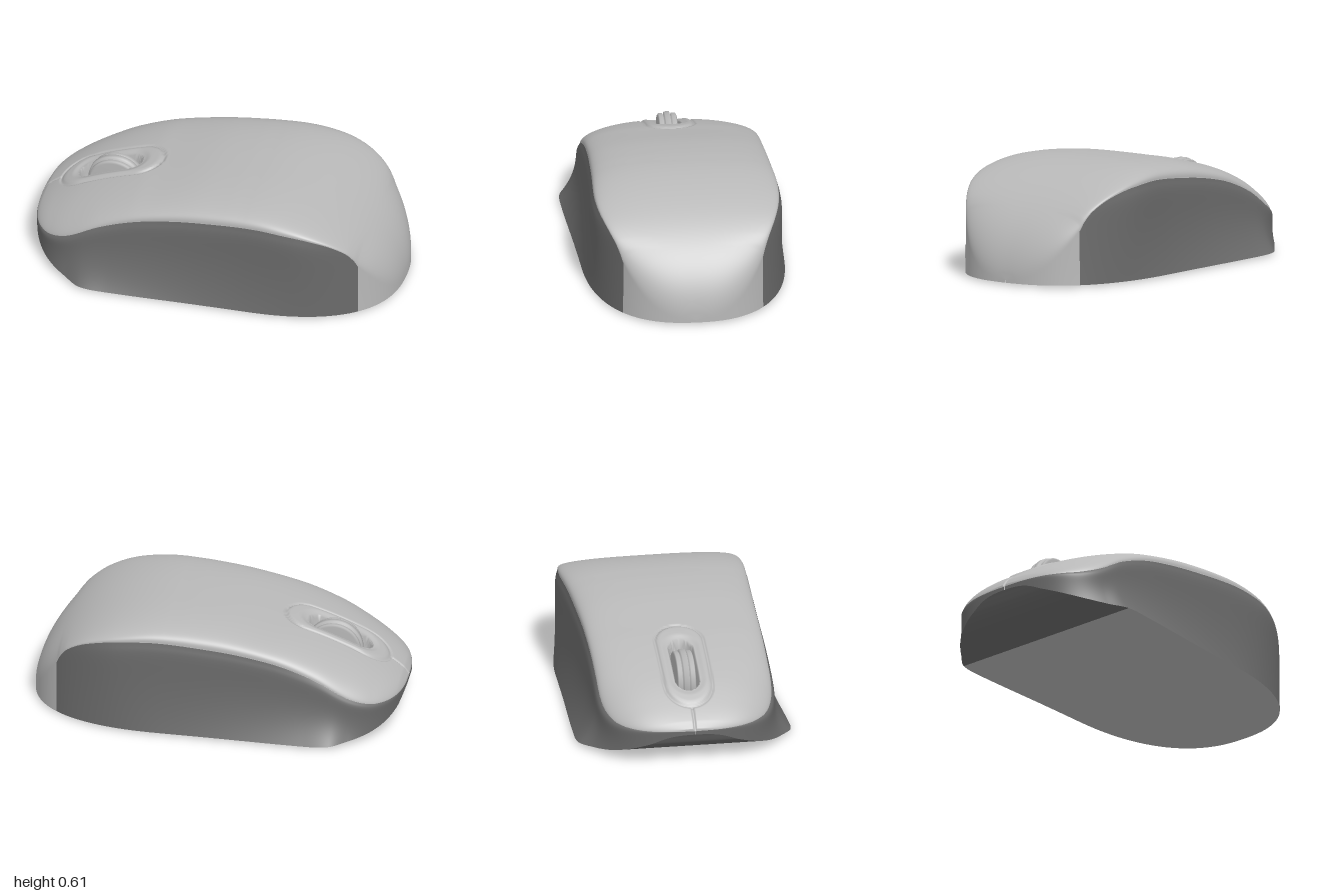
import * as THREE from 'three';

// Smooth curve through [x, value] keys
function curve(keys) {
  const n = keys.length;
  const slope = keys.map((k, i) => {
    const a = keys[Math.max(0, i - 1)], b = keys[Math.min(n - 1, i + 1)];
    return (b[1] - a[1]) / (b[0] - a[0]);
  });
  return (x) => {
    let i = 0;
    while (i < n - 2 && x > keys[i + 1][0]) i++;
    const [x0, y0] = keys[i], [x1, y1] = keys[i + 1], h = x1 - x0;
    const t = THREE.MathUtils.clamp((x - x0) / h, 0, 1), t2 = t * t, t3 = t2 * t;
    return (2 * t3 - 3 * t2 + 1) * y0 + (t3 - 2 * t2 + t) * h * slope[i]
      + (3 * t2 - 2 * t3) * y1 + (t3 - t2) * h * slope[i + 1];
  };
}

const { clamp, lerp, smoothstep } = THREE.MathUtils;
const SPLIT = 0.84; // where the side panels end and the shell wraps down the back
const NOSE = -0.65; // where the flat underside turns up into the nose
const frontCrown = curve([[-1, 0.195], [-0.97, 0.235], [-0.87, 0.308], [-0.74, 0.382], [-0.58, 0.449],
  [-0.42, 0.501], [-0.31, 0.526], [-0.07, 0.578], [0.12, 0.6], [0.25, 0.605]]);
const seamHeight = curve([[-1, 0.185], [-0.92, 0.192], [-0.85, 0.205], [-0.74, 0.25], [-0.58, 0.342], [-0.39, 0.416],
  [-0.2, 0.46], [0, 0.49], [0.3, 0.517], [0.5, 0.507], [0.6, 0.49], [0.7, 0.455], [0.78, 0.4], [0.82, 0.345],
  [0.84, 0.3], [0.9, 0.2], [0.95, 0.11], [1, 0.02]]);
const seamWidth = curve([[-1, 0.465], [-0.6, 0.465], [-0.2, 0.468], [0, 0.474], [0.3, 0.488], [0.6, 0.515], [0.84, 0.525], [1, 0.53]]);
const baseWidth = curve([[-1, 0.46], [-0.87, 0.485], [-0.75, 0.522], [-0.65, 0.572], [-0.5, 0.577], [0, 0.552],
  [0.4, 0.537], [0.7, 0.53], [1, 0.53]]);
const baseHeight = curve([[-1, 0.165], [-0.97, 0.11], [-0.9, 0.062], [-0.8, 0.032], [-0.65, 0.014], [-0.4, 0.01], [1, 0.01]]);

// Rounded plan ends at the nose and the back
function taper(x) {
  const back = x > 0.25;
  const u = back ? (x - 0.25) / 0.75 : Math.max(0, (-0.6 - x) / 0.4), p = back ? 2.4 : 2.6;
  return Math.max(0.002, Math.pow(Math.max(0, 1 - Math.pow(u, p)), 1 / p));
}

function crownHeight(x) {
  if (x <= 0.25) return frontCrown(x);
  const u = (x - 0.25) / 0.75;
  return 0.025 + 0.58 * Math.sqrt(Math.max(0, 1 - u * u));
}

// Signed distance to a stadium lying along x
const stadium = (x, z, cx, half, r) => Math.hypot(Math.max(0, Math.abs(x - cx) - (half - r)), z) - r;

// Wheel surround with its outline groove, wheel slot and the split between the buttons
function relief(x, z) {
  const panel = stadium(x, z, -0.62, 0.28, 0.13);
  const slot = stadium(x, z, -0.63, 0.175, 0.068);
  let y = 0.006 * smoothstep(-panel, 0, 0.03);
  y -= 0.008 * (1 - smoothstep(Math.abs(panel), 0, 0.014));
  y -= 0.012 * smoothstep(-slot, -0.04, 0);
  y -= 0.1 * smoothstep(-slot, 0, 0.016);
  if (x < -0.9) y -= 0.01 * (1 - smoothstep(Math.abs(z), 0, 0.012));
  return y;
}

// Body cross-section: |s| < 1 is the crown, 1..2 runs down the side wall
function body(x, s) {
  x = clamp(x, -1, 1);
  const side = Math.sign(s), a = Math.abs(s), e = taper(x);
  const w = seamWidth(x) * e, wb = baseWidth(x) * e, seam = seamHeight(x);
  if (a <= 1) {
    const f = Math.sin(a * Math.PI / 2), z = side * w * f;
    // sharper edge at the nose, rounder shoulders further back
    const power = lerp(0.72, 0.36, smoothstep(x, -1, -0.2));
    const dome = Math.pow(Math.max(0, 1 - Math.pow(f, 2.8)), power);
    return new THREE.Vector3(x, seam + (crownHeight(x) - seam) * dome + relief(x, z), z);
  }
  const t = Math.min(1, a - 1);
  const bulge = 0.022 * (1 - Math.exp(-12 * t)) * (1 - t) * (1 - smoothstep(x, 0.5, SPLIT)) * e;
  return new THREE.Vector3(x, lerp(seam, baseHeight(x), t), side * (w + bulge + (wb - w) * Math.pow(t, 2.4)));
}

// Underside, slightly crowned so its middle rests on the ground
function underside(x, v) {
  x = clamp(x, -1, 1);
  const sag = smoothstep(x, NOSE, -0.4) * (1 - smoothstep(x, 0.7, 0.95)) * (1 - Math.min(1, v ** 4));
  return new THREE.Vector3(x, baseHeight(x) - 0.01 * sag, -v * baseWidth(x) * taper(x));
}

// Surface over stations xs and an even range of v, with smooth normals
function surface(fn, xs, v0, v1, nv) {
  const pos = [], nor = [], idx = [], e = 0.002;
  xs.forEach((x, i) => {
    for (let j = 0; j <= nv; j++) {
      const v = v0 + (v1 - v0) * j / nv;
      const du = fn(x + e, v).sub(fn(x - e, v)).normalize();
      const dv = fn(x, v + e).sub(fn(x, v - e)).normalize();
      pos.push(...fn(x, v).toArray());
      nor.push(...dv.cross(du).normalize().toArray());
      if (i < xs.length - 1 && j < nv) {
        const a = i * (nv + 1) + j, c = a + nv + 1;
        idx.push(a, a + 1, c, a + 1, c + 1, c);
      }
    }
  });
  const g = new THREE.BufferGeometry();
  g.setAttribute('position', new THREE.Float32BufferAttribute(pos, 3));
  g.setAttribute('normal', new THREE.Float32BufferAttribute(nor, 3));
  g.setIndex(idx);
  return g;
}

export function createModel() {
  const group = new THREE.Group();
  const material = (name, color) => {
    const m = new THREE.MeshStandardMaterial({ color });
    m.name = name;
    return m;
  };
  const light = material('light grey', 0xb8b8b8);
  const dark = material('dark grey', 0x6a6a6a);
  const add = (name, geometry, mat) => {
    const mesh = new THREE.Mesh(geometry, mat);
    mesh.name = name;
    group.add(mesh);
    return mesh;
  };

  // Stations bunch up towards both rounded ends
  const xs = Array.from({ length: 261 }, (_, i) => -Math.cos(Math.PI * i / 260));
  xs.push(SPLIT, NOSE);
  xs.sort((a, b) => a - b);
  const between = (a, b) => xs.filter((x) => x >= a && x <= b);

  // Top shell, side panels and the shell's wrap around the back
  add('topShell', surface(body, xs, -1, 1, 200), light);
  for (const [name, a, b] of [['left', 1, 2], ['right', -2, -1]]) {
    add(name + 'SidePanel', surface(body, between(-1, SPLIT), a, b, 20), dark);
    add(name + 'BackShell', surface(body, between(SPLIT, 1), a, b, 20), light);
  }

  // Dark upturned nose and light flat underside
  add('noseUnderside', surface(underside, between(-1, NOSE), -1, 1, 8), dark);
  add('underside', surface(underside, between(NOSE, 1), -1, 1, 8), light);

  // Scroll wheel with three raised bands
  const profile = [[0, -0.05], [0.135, -0.05], [0.145, -0.044], [0.145, -0.024], [0.136, -0.022], [0.136, -0.016],
    [0.153, -0.013], [0.153, 0.013], [0.136, 0.016], [0.136, 0.022], [0.145, 0.024], [0.145, 0.044],
    [0.135, 0.05], [0, 0.05]].map(([r, y]) => new THREE.Vector2(r, y));
  const wheel = add('scrollWheel', new THREE.LatheGeometry(profile, 48), light);
  wheel.rotation.x = Math.PI / 2;
  wheel.position.set(-0.6, 0.328, 0);
  return group;
}
